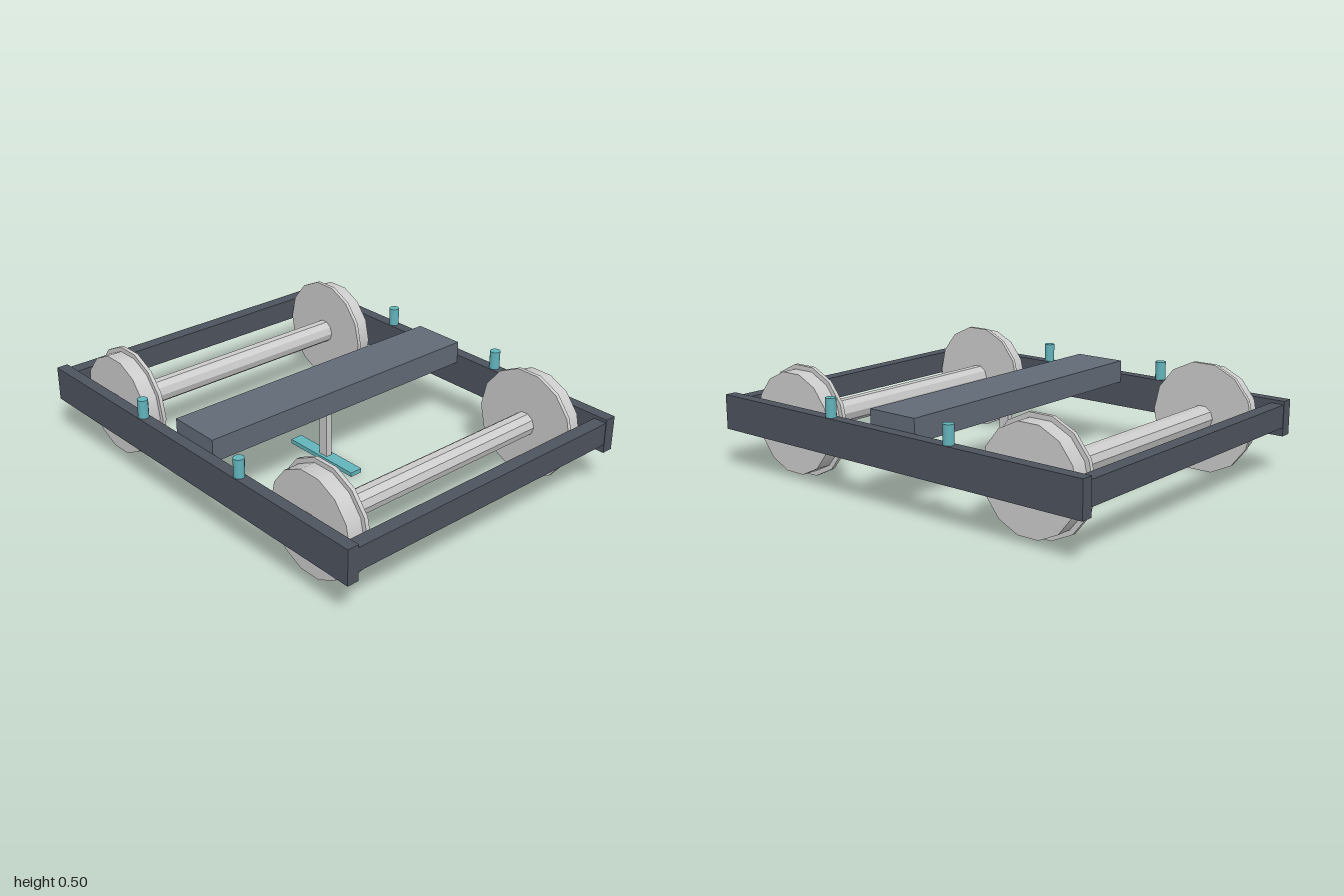
import * as THREE from 'three';

const mat = (color) => new THREE.MeshStandardMaterial({ color });

export function createModel() {
  const model = new THREE.Group();
  const frameMat = mat(0x4e545e);
  const bolsterMat = mat(0x626a76);
  const accentMat = mat(0x62b4bc);
  const steel = mat(0xcccccc);
  const facetedSteel = mat(0xcccccc);
  facetedSteel.flatShading = true;

  const add = (name, geometry, material, x, y, z, parent = model) => {
    const mesh = new THREE.Mesh(geometry, material);
    mesh.name = name;
    mesh.position.set(x, y, z);
    parent.add(mesh);
    return mesh;
  };
  // Box given by its size and the height of its underside
  const box = (name, w, h, d, material, x, bottom, z) =>
    add(name, new THREE.BoxGeometry(w, h, d), material, x, bottom + h / 2, z);
  // Cylinder lying along z, with a vertex on the x axis
  const disc = (r, length, sides) =>
    new THREE.CylinderGeometry(r, r, length, sides, 1, false, Math.PI / 2).rotateX(Math.PI / 2);

  // Rectangular frame and the pegs on its side beams
  for (const s of [1, -1]) {
    box('sideBeam', 2, 0.16, 0.054, frameMat, 0, 0.19, s * 0.746);
    box('endBeam', 0.063, 0.105, 1.45, frameMat, s * 0.966, 0.229, 0);
    for (const x of [-0.333, 0.333]) {
      add('peg', new THREE.CylinderGeometry(0.024, 0.024, 0.085, 12), accentMat, x, 0.3925, s * 0.746);
    }
  }

  // Central bolster with the post and foot bar hanging below it
  box('bolster', 0.25, 0.105, 1.44, bolsterMat, 0, 0.31, 0);
  box('post', 0.05, 0.285, 0.03, steel, 0, 0.03, 0);
  box('footBar', 0.414, 0.02, 0.062, accentMat, 0, 0.01, 0);

  // Two wheelsets: axle, treads and inner flanges
  for (const x of [-0.667, 0.667]) {
    const wheelset = new THREE.Group();
    wheelset.name = 'wheelset';
    wheelset.position.set(x, 0.25, 0);
    model.add(wheelset);
    add('axle', disc(0.056, 1.46, 10), facetedSteel, 0, 0, 0, wheelset);
    for (const s of [1, -1]) {
      add('wheelTread', disc(0.233, 0.076, 14), steel, 0, 0, s * 0.632, wheelset);
      add('wheelFlange', disc(0.2545, 0.018, 14), steel, 0, 0, s * 0.588, wheelset);
    }
  }

  return model;
}
